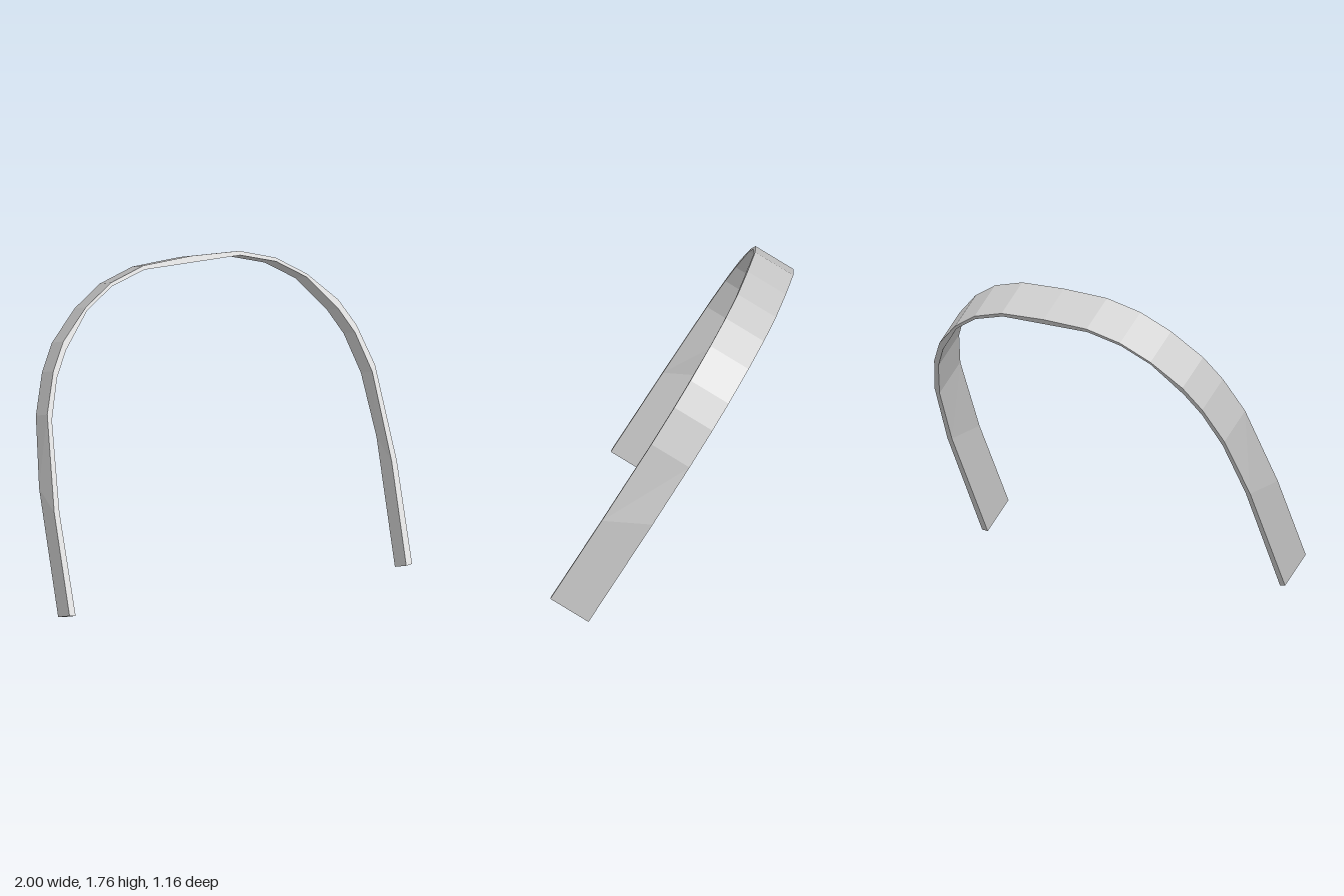
import * as THREE from 'three';

// Half profile from the leg end to the crown, in the tilted plane of the arch:
// outer x, outer height, inner x, inner height, extra height at the back edge
const HALF = [
  [1.0, 0.0, 0.965, -0.005, 0],
  [1.0, 0.583, 0.97, 0.583, 0.144],
  [0.957, 1.13, 0.935, 1.095, 0],
  [0.885, 1.365, 0.87, 1.325, 0],
  [0.803, 1.52, 0.795, 1.47, 0],
  [0.645, 1.69, 0.64, 1.672, 0],
  [0.48, 1.805, 0.48, 1.783, 0],
  [0.28, 1.872, 0.28, 1.848, 0],
];
const CROWN = [0, 1.885, 0, 1.848, 0];

const TILT = Math.PI / 6;
const WIDTH = 0.25;

// Point in the leaning band: x across, v along the lean, w across the width
function place(x, v, w) {
  return [
    x,
    0.13 + v * Math.cos(TILT) - w * Math.sin(TILT),
    0.58 - v * Math.sin(TILT) - w * Math.cos(TILT),
  ];
}

// Loft four-cornered cross-sections into a closed, faceted band
function loft(sections) {
  const pos = [];
  const quad = (a, b, c, d) => pos.push(...a, ...b, ...c, ...a, ...c, ...d);
  const rings = sections.map(([ox, ov, ix, iv, skew]) => [
    place(ox, ov, 0),
    place(ox, ov + skew, WIDTH),
    place(ix, iv + skew, WIDTH),
    place(ix, iv, 0),
  ]);
  for (let i = 0; i < rings.length - 1; i++) {
    const r = rings[i], s = rings[i + 1];
    for (let j = 0; j < 4; j++) {
      const k = (j + 1) % 4;
      quad(r[j], r[k], s[k], s[j]);
    }
  }
  // End caps
  const first = rings[0], last = rings[rings.length - 1];
  quad(first[3], first[2], first[1], first[0]);
  quad(last[0], last[1], last[2], last[3]);

  const geo = new THREE.BufferGeometry();
  geo.setAttribute('position', new THREE.Float32BufferAttribute(pos, 3));
  geo.computeVertexNormals();
  return geo;
}

export function createModel() {
  const group = new THREE.Group();
  group.name = 'headband';
  const material = new THREE.MeshStandardMaterial({ color: 0xcccccc, flatShading: true });

  // Left leg, over the crown, then the mirrored right leg
  const mirrored = HALF.map(([ox, ov, ix, iv, s]) => [-ox, ov, -ix, iv, s]).reverse();
  const band = new THREE.Mesh(loft([...HALF, CROWN, ...mirrored]), material);
  band.name = 'band';
  group.add(band);
  return group;
}
